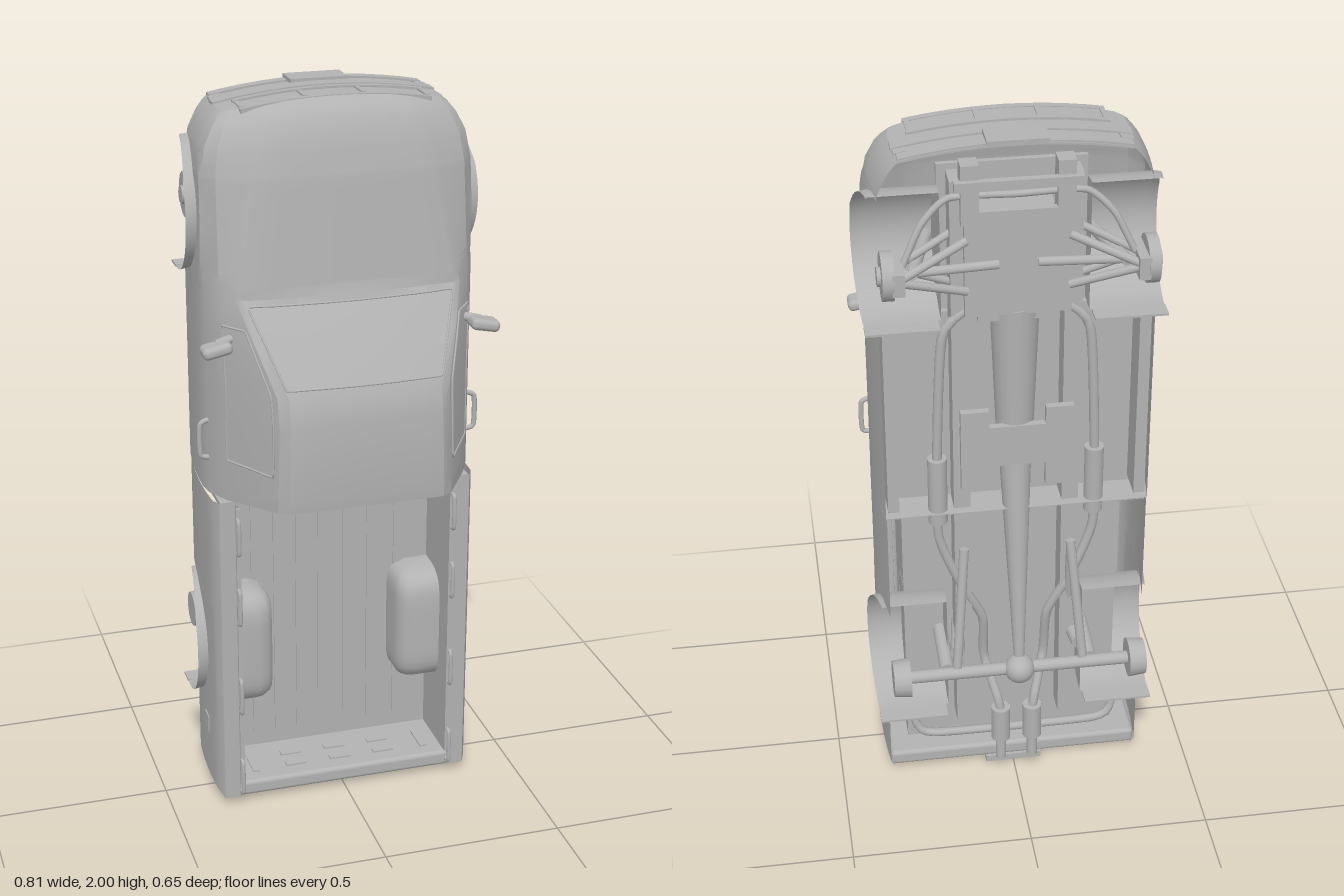
import * as THREE from 'three';
import { toCreasedNormals } from 'three/addons/utils/BufferGeometryUtils.js';
import { RoundedBoxGeometry } from 'three/addons/geometries/RoundedBoxGeometry.js';

const grey = new THREE.MeshStandardMaterial({ color: 0xb2b2b2, side: THREE.DoubleSide });
grey.name = 'body grey';
const V = (p) => new THREE.Vector3(...p);

export function createModel() {
  const root = new THREE.Group();
  root.name = 'pickupTruckOnTail';
  const add = (name, geo) => {
    const m = new THREE.Mesh(geo, grey);
    m.name = name;
    root.add(m);
    return m;
  };
  const box = (name, w, h, d, x, y, z) => {
    const m = add(name, new THREE.BoxGeometry(w, h, d));
    m.position.set(x, y, z);
    return m;
  };
  const soft = (name, w, h, d, x, y, z, r) => {
    const m = add(name, new RoundedBoxGeometry(w, h, d, 3, r));
    m.position.set(x, y, z);
    return m;
  };
  const rod = (name, a, b, r0, r1 = r0) => {
    const d = V(b).sub(V(a));
    const m = add(name, new THREE.CylinderGeometry(r1, r0, d.length(), 16));
    m.position.copy(V(a)).addScaledVector(d, 0.5);
    m.quaternion.setFromUnitVectors(new THREE.Vector3(0, 1, 0), d.normalize());
    return m;
  };
  const tube = (name, pts, r, closed = false) =>
    add(name, new THREE.TubeGeometry(new THREE.CatmullRomCurve3(pts.map(V), closed, 'catmullrom', closed ? 0.05 : 0.3), closed ? 90 : 40, r, 10, closed));
  // Surface through rows of points
  const grid = (name, rows, crease = 0.5) => {
    const n = rows[0].length, idx = [];
    for (let i = 0; i + 1 < rows.length; i++)
      for (let j = 0; j + 1 < n; j++) {
        const a = i * n + j;
        idx.push(a, a + 1, a + n, a + 1, a + n + 1, a + n);
      }
    const g = new THREE.BufferGeometry();
    g.setAttribute('position', new THREE.Float32BufferAttribute(rows.flat(2), 3));
    g.setIndex(idx);
    g.computeVertexNormals();
    return add(name, toCreasedNormals(g, crease));
  };

  // Lower edge of the body sides, with wheel arches
  const arches = [{ y: 0.43, r: 0.182 }, { y: 1.685, r: 0.178 }], archZ = -0.18;
  const bottom = (y) => {
    for (const a of arches) {
      const t = (y - a.y) / a.r;
      if (Math.abs(t) <= 1) return archZ + (a.r + 0.012) * Math.sqrt(1 - t * t);
    }
    return y < 0.3 ? -0.165 - 0.01 * y : y > 1.85 ? -0.195 : -0.225;
  };
  const stations = (list, a) => {
    for (let i = 0; i <= 24; i++) list.push(a.y - a.r * Math.cos((Math.PI * i) / 24) * 0.9999);
    list.push(a.y - a.r * 1.001, a.y + a.r * 1.001);
    return list.sort((p, q) => p - q);
  };
  const lower = (y, ax, az) => {
    const z0 = bottom(y), out = [];
    for (let i = 0; i < 6; i++) {
      const z = z0 + ((az - z0) * i) / 6;
      out.push([ax + 0.006 - 0.35 * (z - 0.01) ** 2, z]);
    }
    return out;
  };

  // Cab and bonnet: y, then x,z of shoulder, belt, edge, inner top and centre
  const keys = [
    [0.94, 0.365, 0.055, 0.333, 0.122, 0.237, 0.295, 0.21, 0.315, 0, 0.320],
    [1.00, 0.365, 0.055, 0.333, 0.125, 0.236, 0.297, 0.21, 0.318, 0, 0.323],
    [1.20, 0.365, 0.055, 0.333, 0.125, 0.230, 0.293, 0.205, 0.312, 0, 0.322],
    [1.275, 0.365, 0.055, 0.333, 0.125, 0.232, 0.282, 0.205, 0.298, 0, 0.310],
    [1.40, 0.365, 0.055, 0.335, 0.122, 0.272, 0.210, 0.250, 0.220, 0, 0.237],
    [1.50, 0.365, 0.055, 0.337, 0.108, 0.303, 0.143, 0.285, 0.150, 0, 0.168],
    [1.53, 0.365, 0.052, 0.337, 0.104, 0.296, 0.142, 0.278, 0.149, 0, 0.160],
    [1.80, 0.361, 0.040, 0.333, 0.075, 0.250, 0.110, 0.230, 0.117, 0, 0.128],
    [1.89, 0.350, 0.030, 0.322, 0.060, 0.232, 0.091, 0.210, 0.098, 0, 0.108],
    [1.95, 0.327, 0.020, 0.303, 0.044, 0.222, 0.069, 0.200, 0.076, 0, 0.086],
    [1.975, 0.310, 0.010, 0.288, 0.029, 0.216, 0.050, 0.195, 0.055, 0, 0.064],
    [1.988, 0.295, -0.005, 0.279, 0.010, 0.212, 0.026, 0.190, 0.030, 0, 0.040],
  ];
  const bow = (x, y) => y - 0.03 * Math.min(1, Math.max(0, (y - 1.84) / 0.14)) * (x / 0.3) ** 2;
  // The rear of the cab leans forward above the belt
  const lean = (y, z) => (y < 0.95 ? 0.13 * Math.max(0, z - 0.12) : 0);
  const half = (y) => {
    let i = 0;
    while (i < keys.length - 2 && y > keys[i + 1][0]) i++;
    const a = keys[i], b = keys[i + 1], t = (y - a[0]) / (b[0] - a[0]);
    const k = a.map((v, j) => v + (b[j] - v) * t), up = [];
    for (let j = 1; j < 9; j += 2) up.push([k[j], k[j + 1]]);
    for (const u of [0.75, 0.5, 0.25, 0]) up.push([k[7] * u, k[10] - (k[10] - k[8]) * u * u]);
    return [...lower(y, k[1], k[2]), ...up];
  };
  const cabRow = (y) => {
    const h = half(y);
    const full = [...h, ...h.slice(0, -1).reverse().map(([x, z]) => [-x, z])];
    return full.map(([x, z]) => [x, bow(x, y) + lean(y, z), z]);
  };
  const cabY = stations(keys.map((k) => k[0]), arches[1]);
  grid('cabAndBonnet', cabY.map(cabRow), 0.38);
  const cap = (y) => half(y).map(([x, z]) =>
    Array.from({ length: 13 }, (_, i) => { const u = x * (i / 6 - 1); return [u, bow(u, y) + lean(y, z), z]; }));
  grid('noseFace', cap(1.988));
  grid('cabRearWall', cap(0.94));
  box('rearWindow', 0.38, 0.006, 0.11, 0, 0.951, 0.22).rotation.x = -0.13;

  // Nose trim bent to follow the rounded front
  const trim = (name, x0, x1, z0, z1, y, t) => {
    const g = new THREE.BoxGeometry(x1 - x0, t, z1 - z0, 12, 1, 1);
    g.translate((x0 + x1) / 2, y - t / 2, (z0 + z1) / 2);
    const p = g.attributes.position;
    for (let i = 0; i < p.count; i++) p.setY(i, p.getY(i) - 0.03 * (p.getX(i) / 0.3) ** 2);
    g.computeVertexNormals();
    return add(name, g);
  };
  trim('bumperFace', -0.3, 0.3, -0.125, -0.08, 1.993, 0.012);
  trim('bumperLip', -0.29, 0.29, -0.192, -0.16, 1.993, 0.012);
  trim('grilleTopRail', -0.255, 0.255, 0.015, 0.035, 1.99, 0.016);
  trim('grilleBottomRail', -0.255, 0.255, -0.062, -0.045, 1.994, 0.012);
  for (const x of [-0.247, -0.08, 0.075, 0.247]) trim('grilleDivider', x - 0.006, x + 0.006, -0.05, 0.02, 1.992, 0.01);
  box('numberPlate', 0.155, 0.012, 0.078, -0.003, 1.994, -0.162);
  for (const s of [1, -1]) trim('fogLight', s * 0.28 - 0.016, s * 0.28 + 0.016, -0.155, -0.13, 1.992, 0.008);

  // Windscreen and side windows as thin plates with slim frames
  const pane = (name, rows) => {
    grid(name, rows);
    const edge = [...rows.map((r) => r[0]), ...rows[rows.length - 1].slice(1, -1), ...rows.map((r) => r[r.length - 1]).reverse(), ...rows[0].slice(1, -1).reverse()];
    tube(name + 'Frame', edge, 0.003, true);
  };
  pane('windscreen', [1.295, 1.40, 1.485].map((y) => {
    const h = half(y), [dx, dz] = h[9], top = h[h.length - 1][1];
    return Array.from({ length: 9 }, (_, i) => {
      const u = i / 4 - 1;
      return [(dx - 0.004) * u, y + 0.001, top - (top - dz) * u * u + 0.002];
    });
  }));
  for (const s of [1, -1])
    pane('sideWindow', [1.06, 1.2, 1.275, 1.38, 1.43].map((y) => {
      const h = half(y), b = h[7], c = h[8];
      return [0.04, 0.5, 0.9].map((t) => [s * (b[0] + (c[0] - b[0]) * t + 0.002), y, b[1] + (c[1] - b[1]) * t + 0.001]);
    }));

  // Cargo bed
  const bedY = stations([0.02, 0.035, 0.07, 0.14, 0.7, 0.8, 0.925, 0.932], arches[0]);
  const floorZ = -0.075;
  for (const s of [1, -1]) {
    grid('bedSide', bedY.map((y) => {
      const inset = y < 0.03 ? 0.012 : 0;
      const pts = [...lower(y, 0.363 - inset, 0.1), [0.365 - inset, 0.1], [0.353, 0.122], [0.31, 0.122], [0.3, 0.112], [0.3, floorZ]];
      return pts.map(([x, z]) => [s * x, y, z]);
    }), 0.6);
    const tub = [];
    for (let i = 0; i <= 20; i++) {
      const t = -Math.cos((Math.PI * i) / 20), y = 0.43 + 0.175 * t;
      const w = 0.12 * (1 - t ** 8) ** 0.25, h = 0.125 * (1 - t ** 6) ** 0.35;
      tub.push([[0, 1], [0.6, 1], [0.82, 0.94], [0.95, 0.8], [1, 0.6], [1, 0]].map(([a, b]) => [s * (0.301 - w * a), y, floorZ + h * b]));
    }
    grid('wheelTub', tub, 0.9);
    for (const y of [0.09, 0.345, 0.62, 0.83])
      tube('railLoop', [[s * 0.305, y - 0.05, 0.115], [s * 0.305, y - 0.045, 0.14], [s * 0.305, y + 0.045, 0.14], [s * 0.305, y + 0.05, 0.115]], 0.006);
    box('railTrim', 0.012, 0.84, 0.01, s * 0.303, 0.49, 0.122);
    box('sideMarker', 0.008, 0.05, 0.04, s * 0.368, 0.2, -0.015);
  }
  box('bedFloor', 0.6, 0.88, 0.012, 0, 0.49, floorZ - 0.005);
  for (const x of [-0.21, -0.145, -0.08, -0.015, 0.06, 0.13, 0.21]) box('floorRib', 0.022, 0.78, 0.006, x, 0.5, floorZ + 0.002);
  box('bedBulkhead', 0.7, 0.012, 0.32, 0, 0.925, -0.04);
  soft('tailgate', 0.715, 0.045, 0.28, 0, 0.04, -0.02, 0.012);
  for (const x of [-0.13, 0, 0.13]) for (const z of [0, 0.06]) box('tailgatePanel', 0.06, 0.006, 0.02, x, 0.064, z);
  for (const s of [1, -1]) box('tailgateSlot', 0.02, 0.006, 0.09, s * 0.25, 0.064, 0.03);
  box('rearPlate', 0.16, 0.02, 0.07, 0, 0.01, -0.13);

  // Wheel wells with flared lower edge
  for (const s of [1, -1])
    for (const a of arches) {
      const rows = [];
      for (let i = 0; i <= 24; i++) {
        const t = (Math.PI * i) / 24, y = a.y - a.r * Math.cos(t), z = archZ + (a.r + 0.012) * Math.sin(t);
        const out = 0.386 + 0.012 * Math.sin(t) - 0.018 * Math.max(0, (i - 16) / 8);
        rows.push([[s * 0.19, a.y, archZ], [s * 0.19, y, z], [s * 0.365, y, z], [s * out, y - 0.004, z]]);
      }
      grid('wheelWell', rows);
      box('mudFlap', 0.19, 0.006, 0.05, s * 0.292, a.y - a.r - 0.003, -0.205);
    }

  // Mirrors and door handles
  for (const s of [1, -1]) {
    const m = soft('mirror', 0.08, 0.032, 0.06, s * 0.363, 1.385, 0.172, 0.014);
    m.rotation.z = s * -0.2;
    rod('mirrorArm', [s * 0.315, 1.4, 0.142], [s * 0.36, 1.392, 0.155], 0.012);
    tube('doorHandle', [[s * 0.355, 1.04, 0.055], [s * 0.385, 1.05, 0.055], [s * 0.385, 1.135, 0.055], [s * 0.355, 1.15, 0.055]], 0.007);
    box('sillInner', 0.03, 0.54, 0.1, s * 0.33, 1.225, -0.17);
  }

  // Floor, frame and drive line
  box('cabFloor', 0.7, 0.57, 0.015, 0, 1.22, -0.125);
  box('engineBayFloor', 0.38, 0.42, 0.015, 0, 1.7, -0.11);
  box('skidPlate', 0.27, 0.29, 0.02, 0, 1.68, -0.215);
  box('engineBlock', 0.2, 0.3, 0.1, 0, 1.66, -0.16);
  box('radiatorSupport', 0.32, 0.025, 0.02, 0, 1.9, -0.23);
  rod('gearbox', [0, 1.54, -0.165], [0, 1.16, -0.17], 0.065, 0.05);
  box('crossMember', 0.3, 0.12, 0.02, 0, 1.14, -0.215);
  for (const s of [1, -1]) {
    box('crossMemberFork', 0.075, 0.24, 0.02, s * 0.112, 1.13, -0.215);
    box('frameRail', 0.045, 1.7, 0.07, s * 0.145, 1.05, -0.165);
    box('frontHorn', 0.045, 0.16, 0.05, s * 0.12, 1.87, -0.2);
  }
  rod('driveShaft', [0, 1.12, -0.175], [0, 0.47, -0.262], 0.045, 0.015);

  // Axles, hubs and suspension
  rod('rearAxle', [-0.34, 0.43, -0.268], [0.34, 0.43, -0.268], 0.018);
  const diff = add('differential', new THREE.SphereGeometry(0.042, 20, 14));
  diff.position.set(0, 0.43, -0.272);
  for (const s of [1, -1]) {
    rod('rearHub', [s * 0.305, 0.43, -0.268], [s * 0.352, 0.43, -0.268], 0.055, 0.05);
    rod('rearShock', [s * 0.2, 0.45, -0.06], [s * 0.2, 0.43, -0.25], 0.02);
    rod('rearSpringTube', [s * 0.15, 0.49, -0.11], [s * 0.17, 0.485, -0.25], 0.02);
    rod('trailingArm', [s * 0.145, 0.82, -0.225], [s * 0.175, 0.46, -0.28], 0.013);
    rod('upperArm', [s * 0.145, 0.8, -0.225], [s * 0.15, 0.5, -0.17], 0.011);
    rod('frontHub', [s * 0.315, 1.68, -0.245], [s * 0.345, 1.68, -0.245], 0.063);
    rod('frontHubCap', [s * 0.345, 1.68, -0.245], [s * 0.355, 1.68, -0.245], 0.025);
    box('steeringKnuckle', 0.03, 0.06, 0.11, s * 0.305, 1.68, -0.25);
    rod('frontShock', [s * 0.21, 1.68, -0.04], [s * 0.27, 1.68, -0.25], 0.016);
    for (const dy of [-0.07, 0.07]) {
      rod('lowerWishbone', [s * 0.13, 1.68 + dy, -0.225], [s * 0.31, 1.68, -0.285], 0.011);
      rod('upperWishbone', [s * 0.16, 1.68 + dy, -0.17], [s * 0.31, 1.68, -0.21], 0.01);
    }
    rod('frontHalfShaft', [s * 0.05, 1.68, -0.225], [s * 0.32, 1.68, -0.245], 0.012);
    tube('swayBar', [[0, 1.86, -0.205], [s * 0.17, 1.86, -0.205], [s * 0.24, 1.8, -0.22], [s * 0.29, 1.7, -0.24]], 0.009);

    // Exhaust
    tube('exhaustPipe', [[s * 0.1, 1.56, -0.19], [s * 0.19, 1.47, -0.195], [s * 0.21, 1.1, -0.195], [s * 0.21, 0.85, -0.195],
      [s * 0.15, 0.68, -0.195], [s * 0.09, 0.55, -0.18], [s * 0.085, 0.4, -0.16], [s * 0.05, 0.27, -0.215], [s * 0.045, 0.22, -0.218]], 0.013);
    rod('muffler', [s * 0.21, 0.9, -0.195], [s * 0.21, 1.1, -0.195], 0.026);
    rod('rearMuffler', [s * 0.045, 0.14, -0.218], [s * 0.045, 0.25, -0.218], 0.027);
    rod('tailPipe', [s * 0.045, 0.07, -0.222], [s * 0.045, 0.14, -0.22], 0.015);
  }
  tube('rearCrossBar', [[-0.29, 0.24, -0.16], [-0.28, 0.17, -0.17], [-0.22, 0.14, -0.175], [0.22, 0.14, -0.175], [0.28, 0.17, -0.17], [0.29, 0.24, -0.16]], 0.012);
  return root;
}
